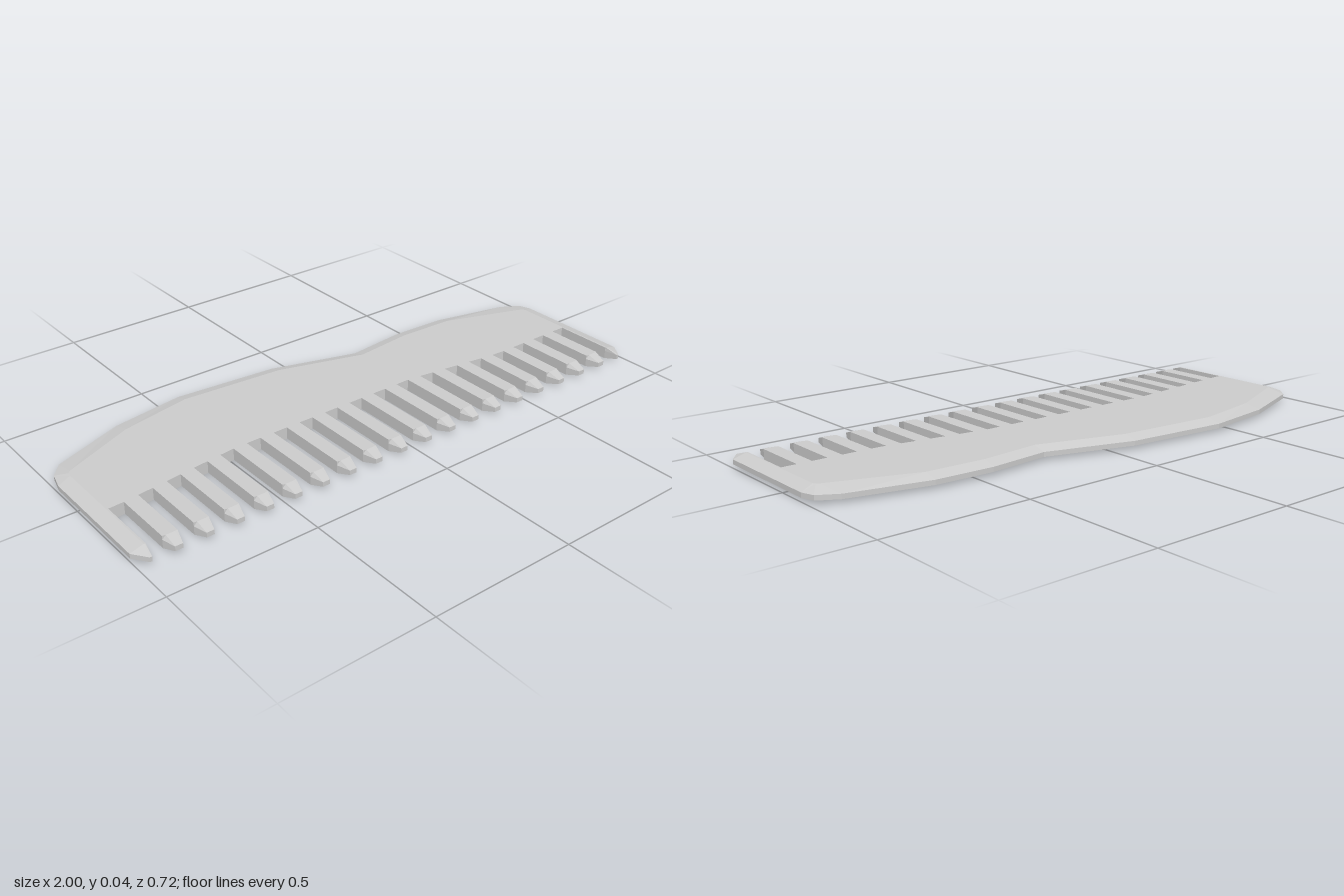
import * as THREE from 'three';

const HEIGHT = 0.042, BAND_LOW = 0.0125, BAND_HIGH = 0.0285;
const TIP = 0.358, SHOULDER = 0.31, PITCH = 0.1026, TEETH = 18;

// Each point: rim x, rim z, flat-face x, flat-face z (the bevel joins the two)
const BACK = [
  [-1, -0.115, -0.955, -0.125], [-0.985, -0.175, -0.953, -0.14], [-0.945, -0.222, -0.943, -0.15],
  [-0.695, -0.318, -0.69, -0.26], [-0.44, -0.358, -0.44, -0.31], [-0.075, -0.328, -0.075, -0.283],
  [0.23, -0.238, 0.23, -0.193], [0.445, -0.262, 0.445, -0.217], [0.65, -0.255, 0.65, -0.21],
  [0.92, -0.193, 0.937, -0.11], [0.985, -0.155, 0.949, -0.103], [1, -0.11, 0.954, -0.095],
];

// Line of the gap roots: curved back in the middle
function rootZ(x) {
  const pts = [[-0.92, 0.1], [-0.48, 0.05], [0.24, 0.05], [0.61, 0.1]];
  if (x <= pts[0][0] || x >= pts[3][0]) return 0.1;
  const i = pts.findIndex((p, k) => k < 3 && x <= pts[k + 1][0]);
  const [a, b] = [pts[i], pts[i + 1]];
  return THREE.MathUtils.lerp(a[1], b[1], (x - a[0]) / (b[0] - a[0]));
}

// End tooth, from its outer side to its inner side (right end, x > 0)
const END_TOOTH = [
  [1, SHOULDER, 0.955, SHOULDER], [0.965, TIP, 0.954, SHOULDER + 0.002],
  [0.957, TIP, 0.951, SHOULDER + 0.002], [0.949, SHOULDER, 0.949, SHOULDER],
];

function combOutline() {
  const out = [...BACK, ...END_TOOTH];
  const plain = (x, z) => out.push([x, z, x, z]);
  for (let i = TEETH; i >= 0; i--) {
    // gap to the right of the next tooth
    const gap = (i - TEETH / 2) * PITCH;
    for (const x of [gap + 0.026, gap - 0.026]) plain(x, rootZ(x));
    if (i === 0) break;
    // pointed tooth
    const c = gap - PITCH / 2;
    plain(c + 0.025, SHOULDER);
    for (const s of [1, -1]) out.push([c + s * 0.013, TIP, c + s * 0.014, SHOULDER + 0.002]);
    plain(c - 0.025, SHOULDER);
  }
  for (const [a, b, c, d] of [...END_TOOTH].reverse()) out.push([-a, b, -c, d]);
  return out.reverse();
}

// Stack of four rings: bottom face, rim band low and high, top face
function combGeometry() {
  const outline = combOutline(), n = outline.length;
  const rim = (y) => outline.flatMap((p) => [p[0], y, p[1]]);
  const face = (y) => outline.flatMap((p) => [p[2], y, p[3]]);
  const positions = [...face(0), ...rim(BAND_LOW), ...rim(BAND_HIGH), ...face(HEIGHT)];
  const index = [];
  for (let r = 0; r < 3; r++) {
    for (let i = 0; i < n; i++) {
      const j = (i + 1) % n, a = r * n + i, b = r * n + j;
      index.push(a, b, b + n, a, b + n, a + n);
    }
  }
  const flat = outline.map((p) => new THREE.Vector2(p[2], -p[3]));
  for (const [a, b, c] of THREE.ShapeUtils.triangulateShape(flat, [])) {
    index.push(a + 3 * n, b + 3 * n, c + 3 * n, c, b, a);
  }
  const indexed = new THREE.BufferGeometry();
  indexed.setAttribute('position', new THREE.Float32BufferAttribute(positions, 3));
  indexed.setIndex(index);
  const geometry = indexed.toNonIndexed();
  geometry.computeVertexNormals();
  return geometry;
}

export function createModel() {
  const group = new THREE.Group();
  group.name = 'comb';
  const material = new THREE.MeshStandardMaterial({ color: 0xcccccc, flatShading: true });
  const comb = new THREE.Mesh(combGeometry(), material);
  comb.name = 'combBodyAndTeeth';
  group.add(comb);
  return group;
}
